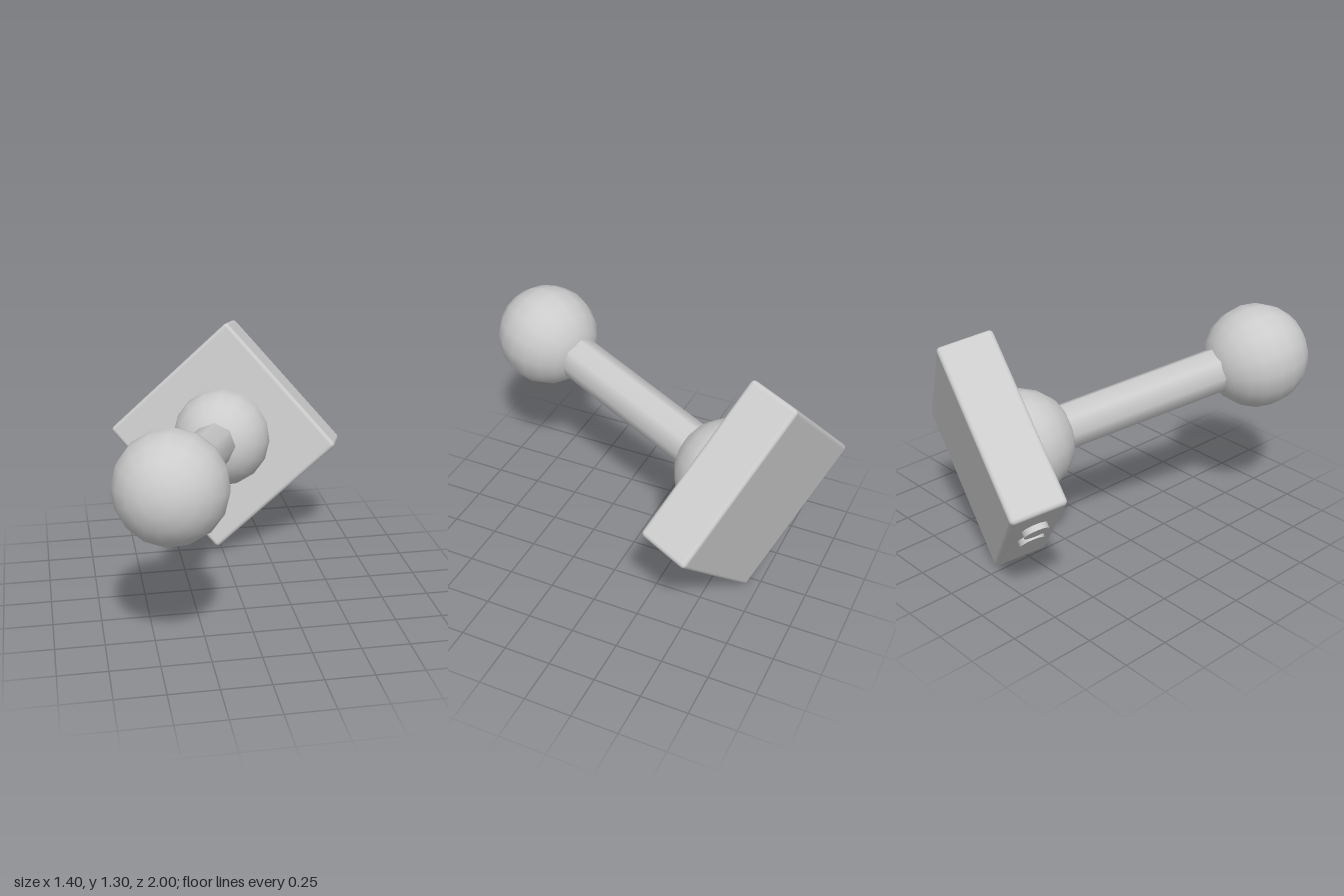
import * as THREE from 'three';
import { RoundedBoxGeometry } from 'three/addons/geometries/RoundedBoxGeometry.js';

export function createModel() {
  const model = new THREE.Group();
  const material = new THREE.MeshStandardMaterial({ color: 0xcccccc });

  // Local frame: origin at the middle of the plate's face, +z along the arm
  const arm = new THREE.Group();
  arm.name = 'ballMount';
  const zAxis = new THREE.Vector3(-0.322, 0.184, 0.93).normalize();
  const yAxis = new THREE.Vector3(-0.618, 0.705, -0.349);
  const xAxis = new THREE.Vector3().crossVectors(yAxis, zAxis).normalize();
  yAxis.crossVectors(zAxis, xAxis);
  arm.quaternion.setFromRotationMatrix(new THREE.Matrix4().makeBasis(xAxis, yAxis, zAxis));
  arm.position.set(0.005, 0.685, -0.527);
  model.add(arm);

  const add = (name, geometry, x, y, z) => {
    const mesh = new THREE.Mesh(geometry, material);
    mesh.name = name;
    mesh.position.set(x, y, z);
    arm.add(mesh);
    return mesh;
  };

  // Square plate with softened edges
  const size = 0.915, depth = 0.285;
  add('basePlate', new RoundedBoxGeometry(size, size, depth, 3, 0.022), 0, 0, -depth / 2);

  // Half-sunk socket ball and the free ball, poles along the arm
  const ball = new THREE.SphereGeometry(0.275, 16, 10).rotateX(Math.PI / 2);
  add('socketBall', ball, 0, 0, 0);
  add('endBall', ball, 0, 0, 1.35);

  // Eight-sided shaft between the balls
  add('shaft', new THREE.CylinderGeometry(0.12, 0.12, 1.3, 8, 1, true).rotateX(Math.PI / 2), 0, 0, 0.675);

  // Two round buttons on one side of the plate
  const button = new THREE.CylinderGeometry(0.066, 0.066, 0.06, 16).rotateZ(Math.PI / 2);
  [0.2, 0.01].forEach((y, i) => add('sideButton' + (i + 1), button, -size / 2, y, -depth / 2));

  return model;
}
